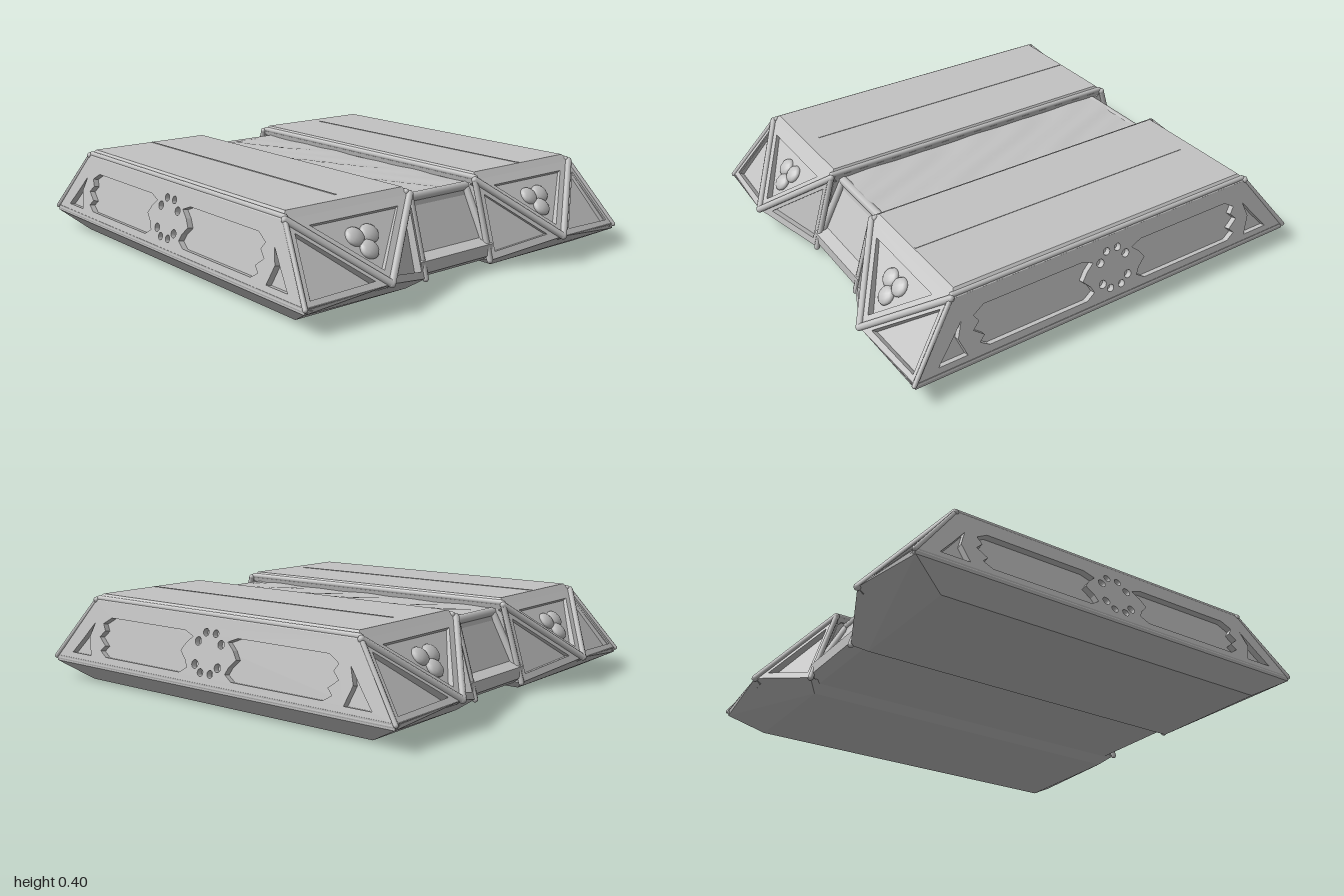
import * as THREE from 'three';
import { ConvexGeometry } from 'three/addons/geometries/ConvexGeometry.js';

const V = (x, y, z) => new THREE.Vector3(x, y, z);
const stone = new THREE.MeshStandardMaterial({ color: 0xc2c2c2 });
stone.name = 'grey stone';

function add(parent, name, geometry) {
  const mesh = new THREE.Mesh(geometry, stone);
  mesh.name = name;
  parent.add(mesh);
  return mesh;
}

// Convex solid from points, each repeated on both sides of x = 0
function solid(parent, name, points) {
  const all = points.flatMap(([x, y, z]) => [V(x, y, z), V(-x, y, z)]);
  return add(parent, name, new ConvexGeometry(all));
}

// Rounded bar between two points
function bar(parent, name, a, b, r) {
  const geo = new THREE.CapsuleGeometry(r, a.distanceTo(b), 3, 8);
  const mesh = add(parent, name, geo);
  mesh.position.copy(a).add(b).multiplyScalar(0.5);
  mesh.quaternion.setFromUnitVectors(V(0, 1, 0), b.clone().sub(a).normalize());
}

// Group whose local x runs from a to b, with local z along the face normal
function faceGroup(parent, name, a, b, c) {
  const u = b.clone().sub(a).normalize();
  const n = u.clone().cross(c.clone().sub(a)).normalize();
  const v = n.clone().cross(u);
  const group = new THREE.Group();
  group.name = name;
  group.quaternion.setFromRotationMatrix(new THREE.Matrix4().makeBasis(u, v, n));
  group.position.copy(a);
  parent.add(group);
  return { group, flat: p => new THREE.Vector2(p.clone().sub(a).dot(u), p.clone().sub(a).dot(v)) };
}

const plate = (shape, depth) =>
  new THREE.ExtrudeGeometry(shape, { depth, bevelEnabled: false, curveSegments: 8 }).translate(0, 0, -depth);

// Triangular frame, corners counter-clockwise from outside
function triangleFrame(parent, name, corners, width) {
  const { group, flat } = faceGroup(parent, name, ...corners);
  const p = corners.map(flat);
  const side = [p[1].distanceTo(p[2]), p[2].distanceTo(p[0]), p[0].distanceTo(p[1])];
  const sum = side[0] + side[1] + side[2];
  const centre = new THREE.Vector2();
  p.forEach((q, i) => centre.addScaledVector(q, side[i] / sum));
  const area = Math.abs(p[1].clone().sub(p[0]).cross(p[2].clone().sub(p[0])));
  const k = 1 - width / (area / sum);
  const shape = new THREE.Shape(p);
  shape.holes.push(new THREE.Path(p.map(q => q.clone().sub(centre).multiplyScalar(k).add(centre)).reverse()));
  add(group, name + 'Border', plate(shape, 0.035));
  return { group, centre };
}

// Sloped long face with notched panels and a pierced centre ornament
function longFace(parent) {
  const { group } = faceGroup(parent, 'longFaceFrame', V(-0.96, 0.1, 0.89), V(0.96, 0.1, 0.89), V(0.75, 0.37, 0.822));
  const h = 0.279;
  const shape = new THREE.Shape([[0, 0], [1.92, 0], [1.71, h], [0.21, h]].map(q => new THREE.Vector2(...q)));
  const panel = [[0.15, 0.035], [0.62, 0.035], [0.66, 0.06], [0.635, 0.085], [0.68, 0.12], [0.65, 0.15],
    [0.67, 0.18], [0.62, 0.21], [0.15, 0.21], [0.1, 0.19], [0.135, 0.16], [0.16, 0.125], [0.125, 0.09], [0.11, 0.06]];
  const corner = [[0.72, 0.03], [0.85, 0.03], [0.79, 0.1], [0.725, 0.18], [0.75, 0.11]];
  for (const s of [1, -1]) {
    for (const list of [panel, corner]) {
      shape.holes.push(new THREE.Path(list.map(([x, y]) => new THREE.Vector2(0.96 + s * x, y))));
    }
    for (const [x, y, r] of [[0.028, 0.05, 0.016], [0.065, 0.08, 0.018], [0.065, 0.175, 0.018], [0.028, 0.215, 0.016]]) {
      const hole = new THREE.Path();
      hole.absarc(0.96 + s * x, y, r, 0, Math.PI * 2);
      shape.holes.push(hole);
    }
  }
  add(group, 'piercedBorder', plate(shape, 0.035));
}

function createSlab() {
  const slab = new THREE.Group();
  slab.name = 'slab';
  solid(slab, 'slabCore', [[0.725, 0.375, 0.2], [0.725, 0.375, 0.795], [0.925, 0.1, 0.863],
    [0.95, 0.11, 0.5], [0.82, 0.04, 0.2], [0.8, 0.02, 0.8]]);
  solid(slab, 'slabBase', [[0.96, 0.105, 0.89], [0.955, 0.08, 0.89], [0.985, 0.12, 0.5], [0.85, 0.04, 0.19],
    [0.8, 0, 0.25], [0.8, 0, 0.81]]);
  solid(slab, 'slabTop', [[0.75, 0.37, 0.19], [0.75, 0.37, 0.822], [0.725, 0.398, 0.21], [0.725, 0.398, 0.795],
    [0.735, 0.35, 0.195], [0.735, 0.35, 0.8]]);
  add(slab, 'topSeam', new THREE.BoxGeometry(1.38, 0.004, 0.008)).position.set(-0.03, 0.398, 0.5);
  longFace(slab);

  for (const s of [1, -1]) {
    const P = (x, y, z) => V(s * x, y, z);
    const outer = P(0.75, 0.37, 0.815), inner = P(0.75, 0.37, 0.19), tip = P(0.985, 0.12, 0.5);
    const corner = P(0.96, 0.1, 0.89), foot = P(0.85, 0.04, 0.19);
    const order = list => (s > 0 ? list : list.reverse());
    const { group, centre } = triangleFrame(slab, 'gableFrame', order([outer, tip, inner]), 0.04);
    triangleFrame(slab, 'cornerFrame', order([outer, corner, tip]), 0.028);
    triangleFrame(slab, 'innerFrame', order([inner, tip, foot]), 0.03);

    // Three-lobed ornament inside the gable
    const { flat } = faceGroup(new THREE.Group(), 'guide', ...(s > 0 ? [outer, tip, inner] : [inner, tip, outer]));
    const down = flat(tip).sub(centre).normalize();
    for (let i = 0; i < 3; i++) {
      const dir = down.clone().rotateAround(new THREE.Vector2(), i * Math.PI * 2 / 3);
      const lobe = add(group, 'ornamentLobe', new THREE.SphereGeometry(0.042, 12, 8));
      lobe.scale.z = 0.5;
      lobe.position.set(centre.x + dir.x * 0.042, centre.y + dir.y * 0.042, -0.02);
    }

    // Raised ribs along the edges
    bar(slab, 'gableRib', outer, tip, 0.015);
    bar(slab, 'gableRib', inner, tip, 0.015);
    bar(slab, 'cornerRib', outer, corner, 0.01);
    bar(slab, 'innerRib', inner, foot, 0.013);
  }
  bar(slab, 'topEdgeRib', V(-0.74, 0.378, 0.2), V(0.74, 0.378, 0.2), 0.013);
  bar(slab, 'topEdgeRib', V(-0.74, 0.378, 0.808), V(0.74, 0.378, 0.808), 0.012);
  bar(slab, 'lowerEdgeRib', V(-0.95, 0.093, 0.88), V(0.95, 0.093, 0.88), 0.012);
  return slab;
}

function createBridge() {
  const bridge = new THREE.Group();
  bridge.name = 'bridge';
  // Stepped block joining the slabs
  const half = [[0.8, 0.03], [0.845, 0.06], [0.845, 0.11], [0.795, 0.13], [0.705, 0.3], [0.695, 0.345]];
  const outline = [...half, ...half.map(([x, y]) => [-x, y]).reverse()];
  const shape = new THREE.Shape(outline.map(q => new THREE.Vector2(...q)));
  add(bridge, 'bridgeBlock', new THREE.ExtrudeGeometry(shape, { depth: 0.42, bevelEnabled: false }).translate(0, 0, -0.21));

  // Gently uneven top
  const top = new THREE.PlaneGeometry(1.38, 0.4, 36, 12).rotateX(-Math.PI / 2);
  const pos = top.attributes.position;
  for (let i = 0; i < pos.count; i++) {
    const x = pos.getX(i), z = pos.getZ(i);
    pos.setY(i, 0.351 + 0.004 * Math.sin(x * 17 + 5 * Math.sin(z * 9)) * Math.cos(z * 14 + x * 6));
  }
  top.computeVertexNormals();
  add(bridge, 'roughTop', top);

  for (const s of [1, -1]) {
    bar(bridge, 'topRail', V(s * 0.69, 0.335, -0.2), V(s * 0.69, 0.335, 0.2), 0.02);
    for (const z of [-0.195, 0.195]) {
      bar(bridge, 'sidePost', V(s * 0.7, 0.32, z), V(s * 0.82, 0.1, z), 0.018);
    }
  }
  return bridge;
}

export function createModel() {
  const model = new THREE.Group();
  model.name = 'twinSlabPlatform';
  const front = createSlab();
  front.name = 'frontSlab';
  const back = createSlab();
  back.name = 'backSlab';
  back.rotation.y = Math.PI;
  model.add(front, back, createBridge());
  return model;
}
